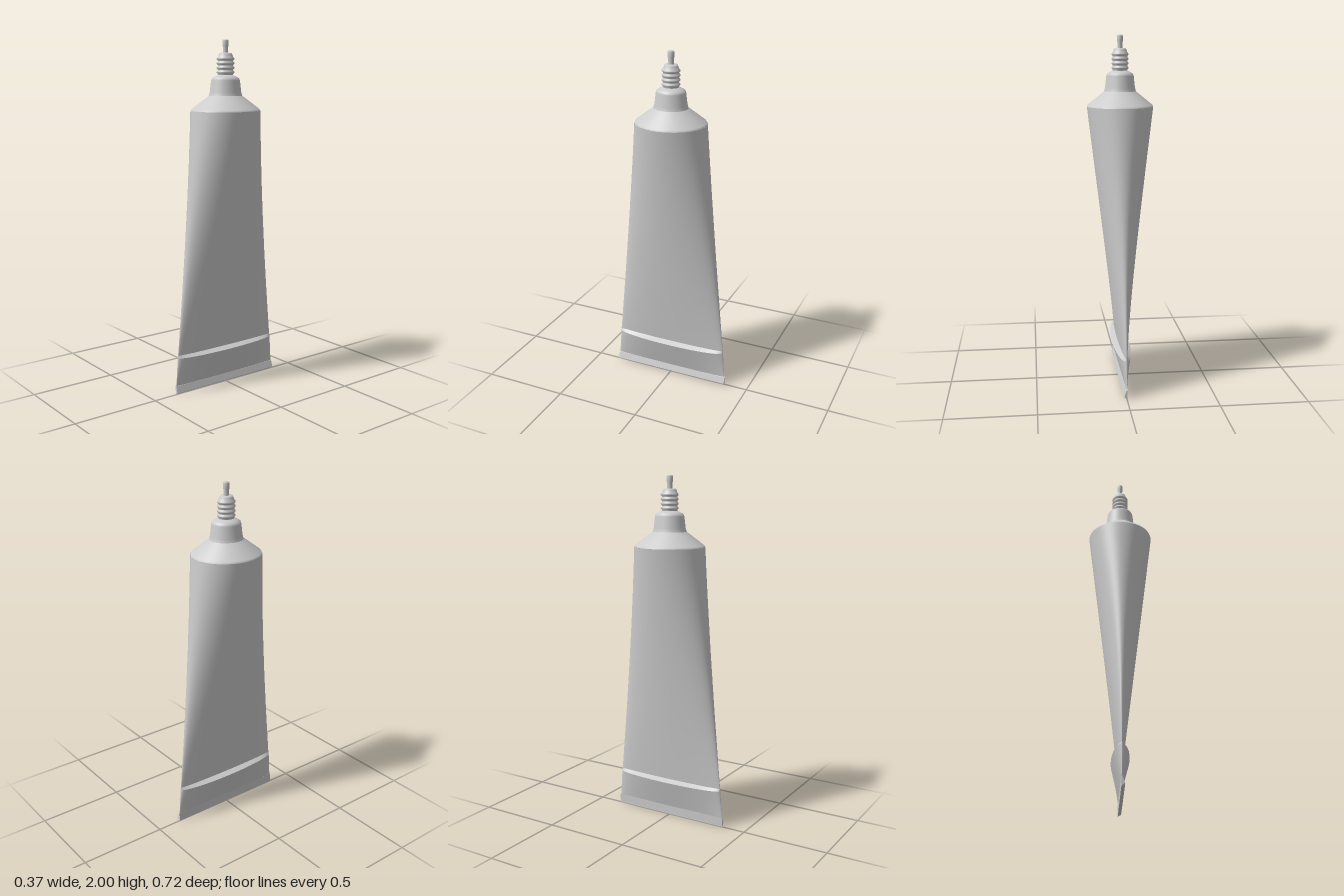
import * as THREE from 'three';

const material = new THREE.MeshStandardMaterial({ color: 0xcccccc, side: THREE.DoubleSide });
const SEG = 64;

// Skin a stack of elliptical rings [y, half width x, half width z], listed bottom to top
function loft(name, rings) {
  const positions = [], index = [];
  for (const [y, a, b] of rings) {
    for (let i = 0; i < SEG; i++) {
      const t = (i / SEG) * Math.PI * 2;
      positions.push(a * Math.sin(t), y, b * Math.cos(t));
    }
  }
  for (let r = 0; r < rings.length - 1; r++) {
    for (let i = 0; i < SEG; i++) {
      const p = r * SEG + i, q = r * SEG + ((i + 1) % SEG);
      index.push(p, q, q + SEG, p, q + SEG, p + SEG);
    }
  }
  const geometry = new THREE.BufferGeometry();
  geometry.setAttribute('position', new THREE.Float32BufferAttribute(positions, 3));
  geometry.setIndex(index);
  geometry.computeVertexNormals();
  const mesh = new THREE.Mesh(geometry, material);
  mesh.name = name;
  return mesh;
}

// Turned part, slightly deeper than wide like the tube's round end
function turned(name, points) {
  const profile = points.map(([r, y]) => new THREE.Vector2(r, y));
  const mesh = new THREE.Mesh(new THREE.LatheGeometry(profile, 40), material);
  mesh.scale.z = 1.09;
  mesh.name = name;
  return mesh;
}

export function createModel() {
  const group = new THREE.Group();
  group.name = 'squeezeTube';

  // Body: round at the shoulder, flattening and widening downwards
  const body = [];
  for (let i = 0; i <= 16; i++) {
    const t = i / 16;
    body.push([0.23 + 1.375 * t, 0.018 + 0.169 * t, 0.342 - 0.137 * t]);
  }
  group.add(loft('body', body));

  // Crimped end: a small ledge, then a lens-shaped wedge closing to a seam
  group.add(loft('crimpLedge', [[0.215, 0.05, 0.343], [0.23, 0.018, 0.342]]));
  group.add(loft('crimpWedge', [[0.05, 0.003, 0.356], [0.13, 0.026, 0.35], [0.215, 0.05, 0.343]]));

  // Folded strip along the bottom seam
  const fold = new THREE.Shape();
  fold.moveTo(-0.004, 0.055);
  fold.lineTo(-0.003, 0);
  fold.lineTo(0.016, 0.012);
  fold.lineTo(0.003, 0.05);
  const strip = new THREE.Mesh(
    new THREE.ExtrudeGeometry(fold, { depth: 0.716, bevelEnabled: false }), material);
  strip.position.z = -0.358;
  strip.name = 'foldedSeam';
  group.add(strip);

  // Conical shoulder and neck
  group.add(turned('shoulder', [[0.187, 1.605], [0.183, 1.615], [0.09, 1.69]]));
  group.add(turned('neck', [[0.09, 1.69], [0.084, 1.71], [0.077, 1.775],
    [0.073, 1.787], [0.06, 1.796], [0.04, 1.805]]));

  // Threaded collar with four ridges
  const thread = [[0.041, 1.8]];
  for (let i = 0; i < 4; i++) {
    const y = 1.81 + i * 0.025;
    thread.push([0.041, y], [0.047, y + 0.007], [0.047, y + 0.013], [0.041, y + 0.02]);
  }
  thread.push([0.036, 1.918], [0.033, 1.927], [0.015, 1.928]);
  group.add(turned('thread', thread));

  // Nozzle tip
  group.add(turned('nozzle', [[0.014, 1.925], [0.014, 1.96], [0.017, 1.965],
    [0.017, 1.994], [0.014, 2], [0, 2]]));
  return group;
}
